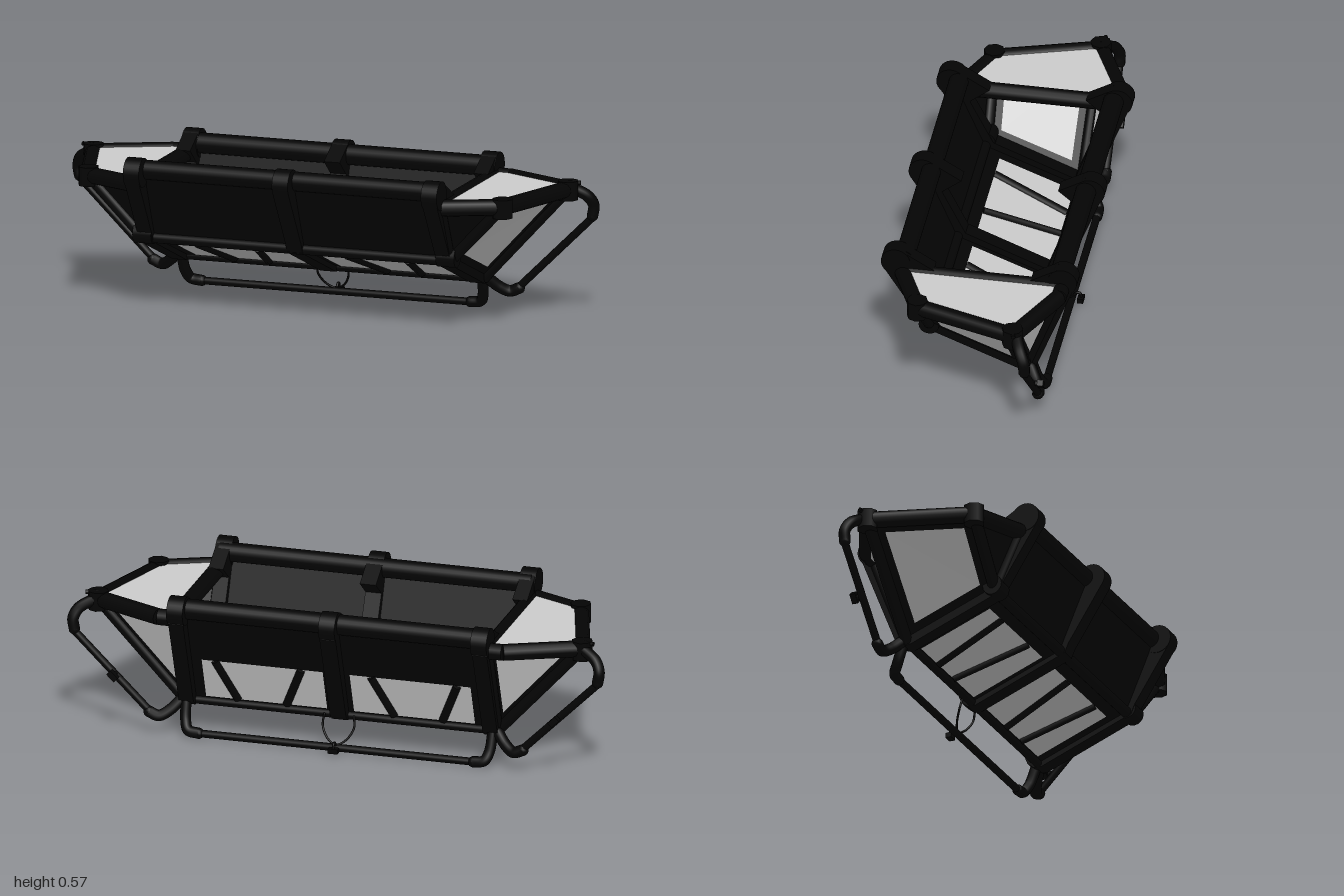
import * as THREE from 'three';

const black = new THREE.MeshStandardMaterial({ color: 0x040404, side: THREE.DoubleSide });
black.name = 'black frame';
const glass = new THREE.MeshStandardMaterial({ color: 0xcacaca, side: THREE.DoubleSide });
glass.name = 'pale glass';

const V = (x, y, z) => new THREE.Vector3(x, y, z);

function add(group, name, geometry, material = black) {
  const mesh = new THREE.Mesh(geometry, material);
  mesh.name = name;
  group.add(mesh);
  return mesh;
}

// Flat polygon through the given corners
function plate(group, name, pts, material) {
  const pos = [];
  for (let i = 1; i < pts.length - 1; i++) {
    for (const p of [pts[0], pts[i], pts[i + 1]]) pos.push(p.x, p.y, p.z);
  }
  const g = new THREE.BufferGeometry();
  g.setAttribute('position', new THREE.Float32BufferAttribute(pos, 3));
  g.computeVertexNormals();
  return add(group, name, g, material);
}

// Pane with a flat border running round it
function framedPane(group, name, outer, inset) {
  const c = outer.reduce((s, p) => s.add(p), V(0, 0, 0)).divideScalar(outer.length);
  const inner = outer.map(p => p.clone().lerp(c, inset));
  plate(group, name + 'Glass', inner, glass);
  outer.forEach((p, i) => {
    const j = (i + 1) % outer.length;
    plate(group, name + 'Border', [p, outer[j], inner[j], inner[i]], black);
  });
}

function rod(group, name, a, b, r, sides = 12) {
  const mesh = add(group, name, new THREE.CylinderGeometry(r, r, a.distanceTo(b), sides));
  mesh.position.copy(a).lerp(b, 0.5);
  mesh.quaternion.setFromUnitVectors(V(0, 1, 0), b.clone().sub(a).normalize());
  return mesh;
}

function tube(group, name, pts, r) {
  const curve = new THREE.CatmullRomCurve3(pts, false, 'centripetal');
  add(group, name, new THREE.TubeGeometry(curve, pts.length * 8, r, 10));
  for (const p of [pts[0], pts[pts.length - 1]]) {
    add(group, name + 'Cap', new THREE.SphereGeometry(r, 10, 8)).position.copy(p);
  }
}

function box(group, name, w, h, d, x, y, z) {
  const mesh = add(group, name, new THREE.BoxGeometry(w, h, d));
  mesh.position.set(x, y, z);
  return mesh;
}

// Corners of the trough's cross-section at a given x
const HALF = 0.58;
const frontTop = x => V(x, 0.52, 0.29);
const frontLow = x => V(x, 0.26, 0.18);
const backLow = x => V(x, 0.125, -0.165);
const backTop = x => V(x, 0.5, -0.3);

// Wall from edge A to edge B with two windows between t0 and t1
function windowWall(group, name, A, B, t0, t1, strutStart, strutEnd) {
  const at = (x, t) => A(x).lerp(B(x), t);
  const quad = (n, x0, x1, a, b, m) =>
    plate(group, n, [at(x0, a), at(x1, a), at(x1, b), at(x0, b)], m);
  quad(name + 'Strip', -HALF, HALF, 0, t0, black);
  quad(name + 'Strip', -HALF, HALF, t1, 1, black);
  quad(name + 'CentrePost', -0.05, 0.05, t0, t1, black);
  for (const s of [-1, 1]) {
    quad(name + 'EndPost', s * 0.5, s * HALF, t0, t1, black);
    quad(name + 'Window', s * 0.05, s * 0.5, t0, t1, glass);
    strutStart.forEach((x, i) =>
      rod(group, name + 'Strut', at(s * x, t0), at(s * strutEnd[i], t1), 0.015, 8));
  }
}

function buildTrough(group) {
  plate(group, 'frontWall', [frontTop(-HALF), frontTop(HALF), frontLow(HALF), frontLow(-HALF)], black);
  windowWall(group, 'floor', frontLow, backLow, 0.17, 0.95, [0.17, 0.40], [0.225, 0.355]);
  windowWall(group, 'backWall', backLow, backTop, 0.05, 0.47, [0.2, 0.38], [0.13, 0.45]);
  rod(group, 'frontLowerRail', frontLow(-HALF), frontLow(HALF), 0.02);
  rod(group, 'backLowerRail', backLow(-HALF), backLow(HALF), 0.016);
  rod(group, 'frontRoll', V(-HALF, 0.528, 0.275), V(HALF, 0.528, 0.275), 0.035, 24);
  rod(group, 'backRoll', V(-HALF, 0.51, -0.285), V(HALF, 0.51, -0.285), 0.037, 24);

  // Slim U-shaped ribs with gussets, and round bands over the rolls
  const profile = [
    [0.345, 0.49], [0.215, 0.285], [0.2, 0.25], [0.17, 0.237], [-0.15, 0.11], [-0.18, 0.11],
    [-0.205, 0.13], [-0.335, 0.465], [-0.28, 0.555], [-0.185, 0.5], [-0.25, 0.445], [-0.145, 0.155],
    [0.15, 0.275], [0.235, 0.445], [0.165, 0.5], [0.275, 0.565],
  ].map(p => new THREE.Vector2(...p));
  for (const x of [-0.565, 0, 0.565]) {
    const w = x ? 0.055 : 0.06;
    const rib = new THREE.ExtrudeGeometry(new THREE.Shape(profile), { depth: w, bevelEnabled: false });
    rib.translate(0, 0, -w / 2).rotateY(-Math.PI / 2);
    add(group, 'rib', rib).position.x = x;
    rod(group, 'frontBand', V(x - 0.03, 0.522, 0.303), V(x + 0.03, 0.522, 0.303), 0.053, 28);
    rod(group, 'backBand', V(x - 0.03, 0.506, -0.3), V(x + 0.03, 0.506, -0.3), 0.053, 28);
  }
}

// Flared, glazed end; s is the side
function buildEnd(s) {
  const end = new THREE.Group();
  end.name = s > 0 ? 'leftEnd' : 'rightEnd';
  const P = V(s * 0.9, 0.473, -0.175), Q = V(s * 0.785, 0.473, 0.19);
  const R = V(s * 0.64, 0.473, -0.295);
  const tf = V(s * HALF, 0.473, 0.28), tb = V(s * HALF, 0.473, -0.295);
  const fl = frontLow(s * HALF), bl = backLow(s * HALF);

  plate(end, 'topPane', [tb, R, P, Q, tf].map(p => V(p.x, 0.492, p.z)), glass);
  framedPane(end, 'sidePane', [P, Q, fl, bl], 0.26);
  framedPane(end, 'rearCornerPane', [P, bl, tb, R], 0.3);
  plate(end, 'frontCornerPanel', [Q, tf, fl], black);

  [[tb, R], [R, P], [P, Q], [Q, tf], [tf, tb]].forEach(([a, b]) => rod(end, 'rim', a, b, 0.03));
  [[P, bl], [Q, fl], [tf, fl], [tb, bl]].forEach(([a, b]) => rod(end, 'edgeBar', a, b, 0.022));
  for (const p of [P, Q]) {
    rod(end, 'rimJoint', V(p.x, 0.435, p.z), V(p.x, 0.504, p.z), 0.038, 8);
  }
  rod(end, 'rimTip', P.clone().setY(0.497), V(s * 0.945, 0.497, -0.185), 0.008, 8);
  rod(end, 'lowerJoint', V(s * 0.54, 0.274, 0.18), V(s * 0.61, 0.274, 0.18), 0.037, 16);

  // Slanted guard bar with thick elbows
  const g = (x, y, z) => V(s * x, y, z);
  rod(end, 'guardBar', g(0.98, 0.37, -0.23), g(0.68, 0.075, -0.23), 0.014);
  tube(end, 'upperElbow', [g(0.91, 0.475, -0.19), g(0.96, 0.445, -0.212), g(0.978, 0.41, -0.228), g(0.973, 0.37, -0.23)], 0.021);
  tube(end, 'lowerElbow', [g(0.59, 0.125, -0.185), g(0.625, 0.09, -0.21), g(0.66, 0.072, -0.228), g(0.695, 0.085, -0.23)], 0.021);
  rod(end, 'guardLampStem', g(0.82, 0.218, -0.23), g(0.82, 0.218, -0.26), 0.01);
  box(end, 'guardLamp', 0.038, 0.022, 0.022, s * 0.82, 0.218, -0.262).rotation.z = s * Math.PI / 4;
  return end;
}

function buildLowerGuard(group) {
  rod(group, 'lowerBar', V(-0.54, 0.021, -0.23), V(0.54, 0.021, -0.23), 0.014);
  for (const s of [-1, 1]) {
    tube(group, 'lowerBarElbow', [V(s * 0.57, 0.13, -0.185), V(s * 0.565, 0.06, -0.21), V(s * 0.55, 0.028, -0.228), V(s * 0.51, 0.021, -0.23)], 0.02);
  }
  // Hanging wire loop and small hooked lamp
  tube(group, 'wireLoop', [V(-0.055, 0.13, -0.19), V(-0.058, 0.09, -0.2), V(-0.035, 0.05, -0.22), V(0, 0.032, -0.232),
    V(0.035, 0.05, -0.22), V(0.058, 0.09, -0.2), V(0.055, 0.13, -0.19)], 0.004);
  tube(group, 'lampHook', [V(0, 0.03, -0.235), V(0, 0.045, -0.248), V(0, 0.043, -0.26), V(0, 0.025, -0.264)], 0.005);
  box(group, 'hookLamp', 0.036, 0.018, 0.022, 0, 0.02, -0.262);
}

export function createModel() {
  const model = new THREE.Group();
  model.name = 'glazedTrough';
  buildTrough(model);
  model.add(buildEnd(1), buildEnd(-1));
  buildLowerGuard(model);
  return model;
}
